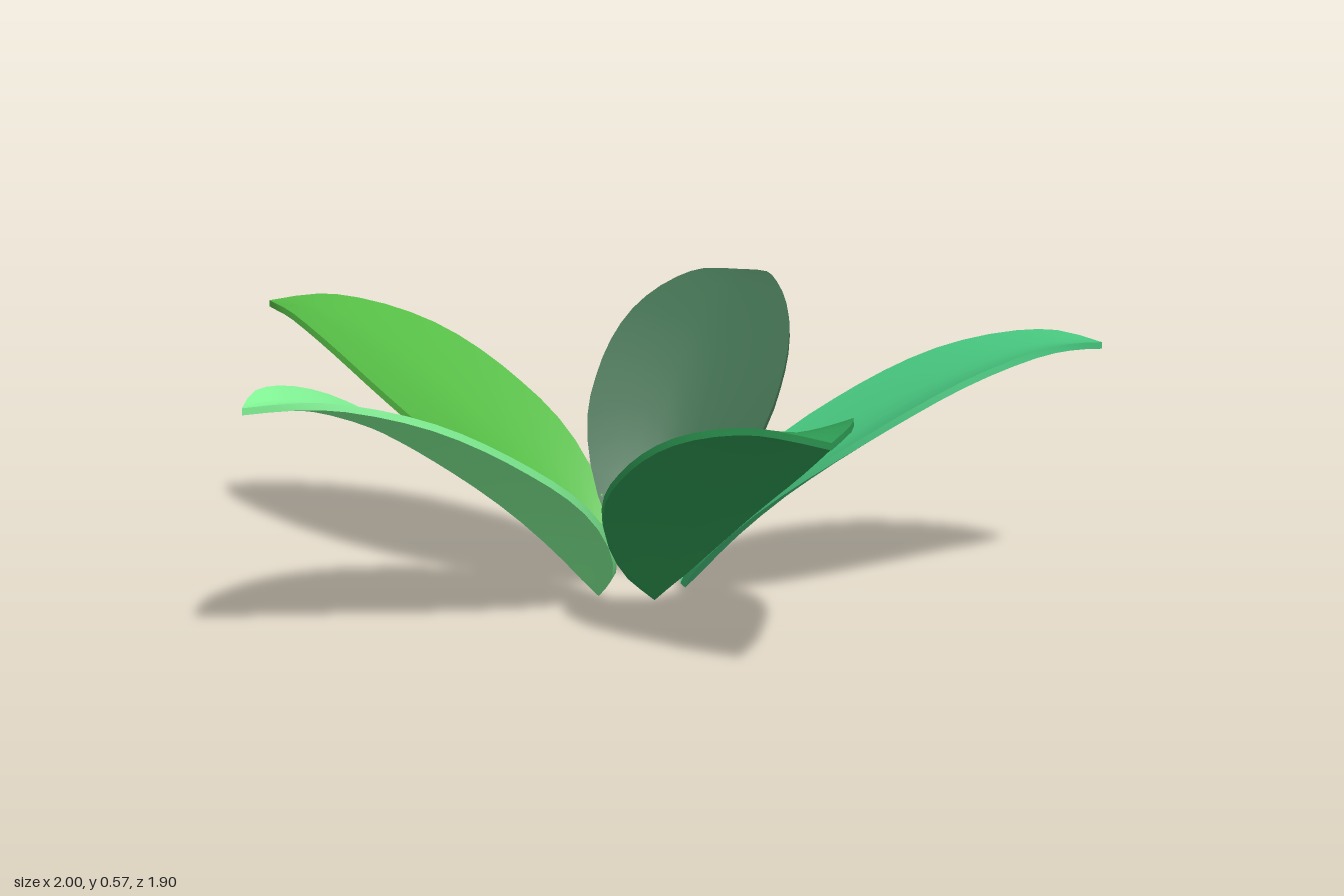
import * as THREE from 'three';
import { toCreasedNormals } from 'three/addons/utils/BufferGeometryUtils.js';

const ROWS = 20, COLS = 10, THICK = 0.015;

// Spine of one leaf: x = half width, y = height of the middle, z = distance from the base
const spine = new THREE.CatmullRomCurve3([
  [0, 0.01, 0], [0.065, 0.045, 0.035], [0.13, 0.115, 0.1], [0.187, 0.208, 0.2],
  [0.218, 0.287, 0.3], [0.225, 0.357, 0.4], [0.22, 0.421, 0.5], [0.2, 0.477, 0.6],
  [0.165, 0.52, 0.7], [0.117, 0.551, 0.8], [0.078, 0.561, 0.87], [0, 0.56, 0.95],
].map(p => new THREE.Vector3(...p)));

// Thin cupped leaf: closed cross-sections (upper face, then lower face) lofted along the spine
function leafGeometry() {
  const pos = [], index = [];
  const ring = 2 * (COLS + 1);
  for (let i = 0; i <= ROWS; i++) {
    const p = spine.getPoint(i / ROWS);
    const t = spine.getTangent(i / ROWS).setX(0).normalize();
    const w = i === 0 || i === ROWS ? 0 : p.x;
    // the edges fold up strongly at the base and gently towards the tip
    const fold = w * (0.15 + 0.4 * (1 - i / ROWS) ** 4);
    for (let k = 0; k < ring; k++) {
      const under = k > COLS;
      const u = ((under ? ring - 1 - k : k) / COLS) * 2 - 1;
      const rise = fold * Math.abs(u) ** 1.5 - (under ? THICK : 0);
      pos.push(u * w, p.y + t.z * rise, p.z - t.y * rise);
    }
  }
  for (let i = 0; i < ROWS; i++) {
    for (let k = 0; k < ring; k++) {
      const a = i * ring + k, b = i * ring + (k + 1) % ring;
      index.push(a, a + ring, b, b, a + ring, b + ring);
    }
  }
  const g = new THREE.BufferGeometry();
  g.setAttribute('position', new THREE.Float32BufferAttribute(pos, 3));
  g.setIndex(index);
  g.translate(0, 0, 0.1); // gap around the middle of the rosette
  return toCreasedNormals(g, Math.PI / 4);
}

export function createModel() {
  const plant = new THREE.Group();
  plant.name = 'leafRosette';
  const geometry = leafGeometry();
  const leaves = [
    ['frontLeaf', 0x84f898],
    ['leftLeaf', 0x2f9d55],
    ['backLeftLeaf', 0x48c880],
    ['backRightLeaf', 0x3f6b4d],
    ['rightLeaf', 0x55bb45],
  ];
  // Five leaves spread evenly in a ring
  leaves.forEach(([name, color], i) => {
    const leaf = new THREE.Mesh(geometry,
      new THREE.MeshStandardMaterial({ color, side: THREE.DoubleSide }));
    leaf.name = name;
    leaf.rotation.y = i * Math.PI * 2 / leaves.length;
    leaf.position.z = -0.1;
    plant.add(leaf);
  });
  return plant;
}
